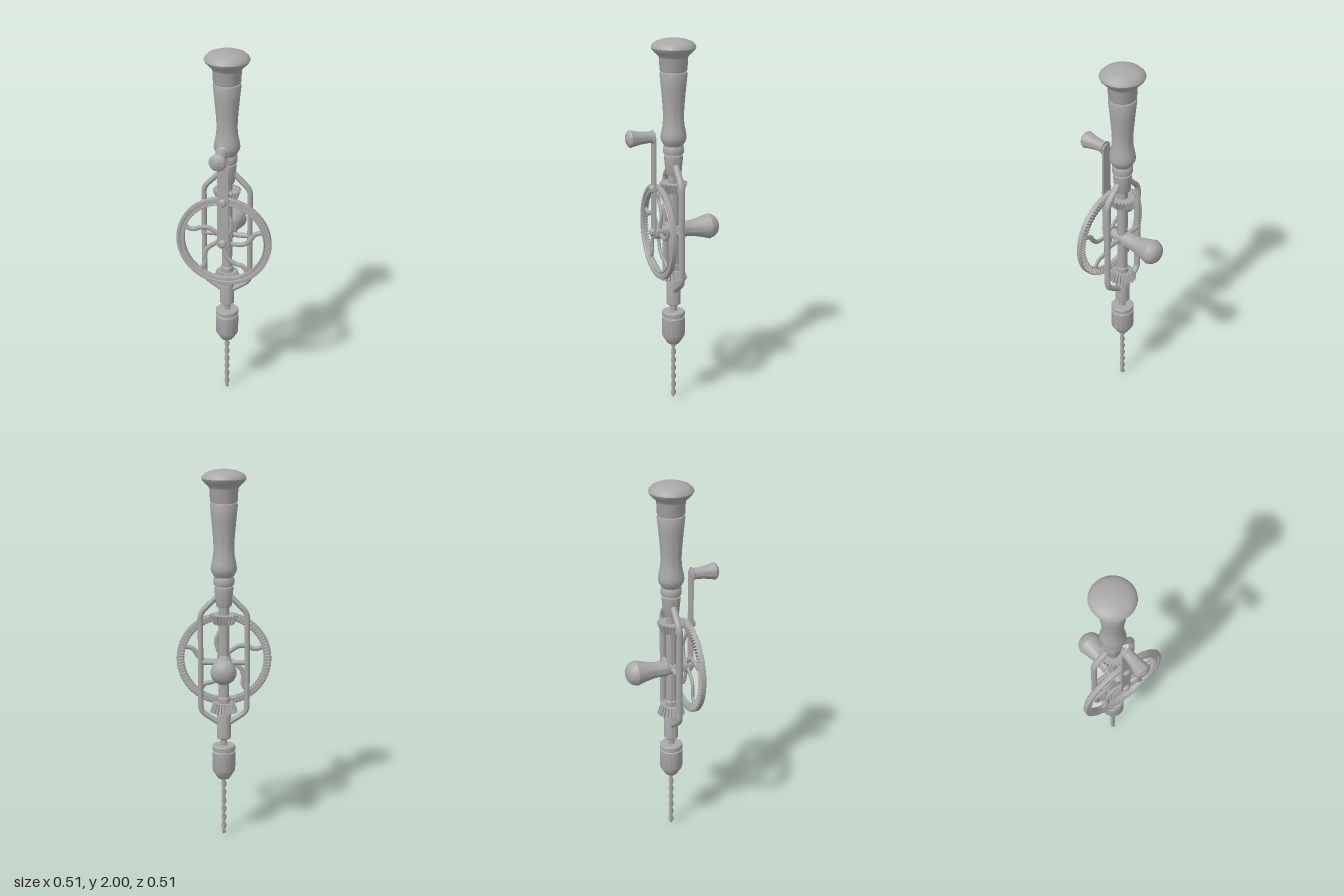
import * as THREE from 'three';
import { mergeGeometries, toCreasedNormals } from 'three/addons/utils/BufferGeometryUtils.js';

const steel = new THREE.MeshStandardMaterial({ color: 0xa8a8a8 });
steel.name = 'grey steel';

const AXIS_Z = -0.007; // depth of the main axis
const HUB_Y = 0.975;   // height of the drive wheel centre

const v2 = ([x, y]) => new THREE.Vector2(x, y);
const v3 = ([x, y, z = 0]) => new THREE.Vector3(x, y, z);

function part(parent, name, geometry, x = 0, y = 0, z = 0) {
  const mesh = new THREE.Mesh(geometry, steel);
  mesh.name = name;
  mesh.position.set(x, y, z);
  parent.add(mesh);
  return mesh;
}

// Turned part about y; profile runs upwards as [radius, height]
function turned(profile, segments = 32) {
  return toCreasedNormals(new THREE.LatheGeometry(profile.map(v2), segments), 0.6);
}

// Turned part about z; profile runs towards the front as [radius, z]
const turnedZ = (profile, segments) => turned(profile, segments).rotateX(Math.PI / 2);

// Bevel pinion: toothed disc, narrowing towards its top
function pinionGeometry(teeth, radius, height) {
  const shape = new THREE.Shape();
  for (let i = 0; i < teeth; i++) {
    [[0, 0.8], [0.25, 0.8], [0.4, 1], [0.75, 1], [0.9, 0.8]].forEach(([t, k], j) => {
      const a = ((i + t) / teeth) * Math.PI * 2;
      const x = Math.cos(a) * radius * k, y = Math.sin(a) * radius * k;
      if (i + j === 0) shape.moveTo(x, y); else shape.lineTo(x, y);
    });
  }
  shape.closePath();
  const g = new THREE.ExtrudeGeometry(shape, { depth: height, bevelEnabled: false });
  g.rotateX(-Math.PI / 2);
  const p = g.attributes.position;
  for (let i = 0; i < p.count; i++) {
    const k = 1 - 0.24 * (p.getY(i) / height);
    p.setXYZ(i, p.getX(i) * k, p.getY(i), p.getZ(i) * k);
  }
  g.computeVertexNormals();
  return g;
}

// Twist drill: two-fluted section turned along its length
function drillBitGeometry(bottom, top, radius) {
  const g = new THREE.CylinderGeometry(1, 1, top - bottom, 24, 96);
  g.translate(0, (top + bottom) / 2, 0);
  const p = g.attributes.position;
  for (let i = 0; i < p.count; i++) {
    const x = p.getX(i), y = p.getY(i), z = p.getZ(i);
    if (Math.hypot(x, z) < 0.5) continue;
    const a = Math.atan2(z, x);
    const point = Math.min(1, 0.1 + (y - bottom) / 0.014);
    const r = radius * point * (0.72 + 0.28 * Math.cos(2 * a));
    const t = a + ((y - bottom) / (top - bottom)) * Math.PI * 2 * 3.5;
    p.setXYZ(i, Math.cos(t) * r, y, Math.sin(t) * r);
  }
  return toCreasedNormals(g, 0.7);
}

// Rod path with rounded corners
function roundedPath(points, r) {
  const path = new THREE.CurvePath();
  let from = points[0];
  for (let i = 1; i < points.length - 1; i++) {
    const c = points[i];
    const a = c.clone().add(points[i - 1].clone().sub(c).setLength(r));
    const b = c.clone().add(points[i + 1].clone().sub(c).setLength(r));
    path.add(new THREE.LineCurve3(from, a));
    path.add(new THREE.QuadraticBezierCurve3(a, c, b));
    from = b;
  }
  path.add(new THREE.LineCurve3(from, points[points.length - 1]));
  return path;
}

function buildBody() {
  const body = new THREE.Group();
  body.name = 'body';
  body.position.z = AXIS_Z;

  part(body, 'handleCap', turned([
    [0, 1.832], [0.069, 1.832], [0.072, 1.84], [0.075, 1.9], [0.079, 1.91], [0.098, 1.928],
    [0.112, 1.943], [0.117, 1.954], [0.113, 1.965], [0.098, 1.98], [0.07, 1.991], [0.035, 1.998], [0, 2],
  ], 40));
  part(body, 'handleGrip', turned([
    [0, 1.435], [0.048, 1.437], [0.056, 1.45], [0.066, 1.468], [0.069, 1.483], [0.065, 1.51],
    [0.057, 1.55], [0.054, 1.59], [0.057, 1.65], [0.065, 1.74], [0.073, 1.818], [0.07, 1.827], [0.06, 1.827], [0.06, 1.836],
  ], 40));
  part(body, 'ferrule', turned([
    [0, 1.28], [0.038, 1.28], [0.042, 1.29], [0.05, 1.375], [0.05, 1.385], [0.044, 1.388], [0.044, 1.394],
    [0.053, 1.397], [0.055, 1.405], [0.055, 1.428], [0.05, 1.438], [0, 1.438],
  ]));
  part(body, 'mainRod', turned([[0, 0.68], [0.028, 0.68], [0.028, 1.29], [0, 1.29]], 24));
  part(body, 'rodCollar', turned([[0, 0.75], [0.034, 0.75], [0.034, 0.78], [0.03, 0.785], [0, 0.785]], 24));

  // Pinions widen away from the wheel centre
  part(body, 'lowerPinion', pinionGeometry(22, 0.075, 0.05), 0, 0.703, 0);
  part(body, 'upperPinion', pinionGeometry(22, 0.075, 0.05), 0, 1.237, 0).rotation.x = Math.PI;

  part(body, 'lowerBearing', turned([
    [0, 0.553], [0.034, 0.553], [0.038, 0.558], [0.038, 0.685], [0.034, 0.7], [0, 0.7],
  ]));
  part(body, 'spindle', turned([[0, 0.5], [0.018, 0.5], [0.018, 0.56], [0, 0.56]], 20));
  part(body, 'chuck', turned([
    [0, 0.325], [0.03, 0.325], [0.035, 0.33], [0.06, 0.37], [0.062, 0.38], [0.062, 0.478], [0.056, 0.482],
    [0.056, 0.488], [0.062, 0.491], [0.062, 0.51], [0.058, 0.515], [0, 0.515],
  ], 36));
  part(body, 'drillBit', drillBitGeometry(0, 0.34, 0.0145));

  // Side rods of the frame, mirrored
  for (const s of [-1, 1]) {
    const path = roundedPath([[0.025 * s, 1.345], [0.124 * s, 1.245], [0.124 * s, 0.705], [0.02 * s, 0.635]].map(v3), 0.03);
    const g = new THREE.TubeGeometry(path, 90, 0.0145, 12);
    g.scale(1, 1, 1.25);
    part(body, s > 0 ? 'leftFrameRod' : 'rightFrameRod', g);
  }
  const cross = new THREE.CylinderGeometry(0.014, 0.014, 0.248, 16).rotateZ(Math.PI / 2);
  part(body, 'frameCrossRod', cross, 0, HUB_Y, 0);

  return body;
}

function buildDrive() {
  const drive = new THREE.Group();
  drive.name = 'drive';
  drive.position.y = HUB_Y;

  part(drive, 'axle', turnedZ([
    [0, -0.07], [0.044, -0.07], [0.044, -0.035], [0.038, -0.03], [0.036, 0.03], [0.028, 0.035], [0.028, 0.062], [0, 0.062],
  ]));
  part(drive, 'sideHandle', turnedZ([
    [0, -0.259], [0.03, -0.257], [0.047, -0.247], [0.059, -0.232], [0.068, -0.208], [0.059, -0.175],
    [0.051, -0.145], [0.045, -0.115], [0.042, -0.085], [0.044, -0.068], [0, -0.068],
  ], 36));

  // Drive wheel
  part(drive, 'wheelRim', turnedZ([
    [0.214, 0.068], [0.254, 0.068], [0.255, 0.07], [0.255, 0.091], [0.253, 0.093], [0.238, 0.093],
    [0.235, 0.087], [0.222, 0.087], [0.219, 0.092], [0.214, 0.09], [0.214, 0.068],
  ], 96));
  const teeth = [];
  const count = 88;
  for (let i = 0; i < count; i++) {
    const tooth = new THREE.CylinderGeometry(0.0045, 0.0085, 0.012, 4, 1).rotateY(Math.PI / 4);
    tooth.scale(3.3, 1, 0.9).rotateX(-Math.PI / 2);
    teeth.push(tooth.toNonIndexed().translate(0.234, 0, 0.064).rotateZ((i / count) * Math.PI * 2));
  }
  const teethGeometry = mergeGeometries(teeth);
  teethGeometry.computeVertexNormals();
  part(drive, 'wheelTeeth', teethGeometry);

  const spokeCurve = new THREE.CatmullRomCurve3(
    [[0.015, -0.01], [0.06, -0.014], [0.11, -0.008], [0.143, 0.02], [0.165, 0.053], [0.195, 0.065], [0.228, 0.064]].map(v3));
  for (let i = 0; i < 5; i++) {
    const g = new THREE.TubeGeometry(spokeCurve, 32, 0.013, 10).scale(1, 1, 0.65);
    part(drive, 'wheelSpoke', g, 0, 0, 0.077).rotation.z = (i * Math.PI * 2) / 5;
  }
  part(drive, 'wheelHub', turnedZ([[0, 0.058], [0.038, 0.058], [0.038, 0.1], [0.034, 0.104], [0, 0.104]]));

  // Crank arm: flat bar with round ends
  const arm = new THREE.Shape();
  arm.absarc(0, 0.515, 0.027, 0, Math.PI);
  arm.absarc(0, 0, 0.03, Math.PI, Math.PI * 2);
  arm.closePath();
  part(drive, 'crankArm', new THREE.ExtrudeGeometry(arm, { depth: 0.011, bevelEnabled: false, curveSegments: 16 }), 0, 0, 0.098);

  const screw = turnedZ([[0, 0], [0.022, 0], [0.022, 0.009], [0.017, 0.017], [0.008, 0.021], [0, 0.022]], 20);
  part(drive, 'hubScrew', screw, 0, 0, 0.107);
  part(drive, 'armScrew', screw, 0, 0.237, 0.107);
  part(drive, 'armScrewPost', turnedZ([[0, 0.08], [0.014, 0.08], [0.014, 0.1], [0, 0.1]], 16), 0, 0.237, 0);

  // Crank knob
  part(drive, 'crankKnob', turnedZ([
    [0, 0.107], [0.036, 0.107], [0.036, 0.113], [0.03, 0.117], [0.03, 0.14], [0.033, 0.17],
    [0.039, 0.205], [0.046, 0.232], [0.041, 0.242], [0.03, 0.249], [0, 0.25],
  ]), 0, 0.517, 0);
  part(drive, 'knobScrew', turnedZ([[0, 0.248], [0.017, 0.248], [0.014, 0.253], [0, 0.256]], 16), 0, 0.517, 0);

  return drive;
}

export function createModel() {
  const model = new THREE.Group();
  model.name = 'handDrill';
  model.add(buildBody(), buildDrive());
  return model;
}
